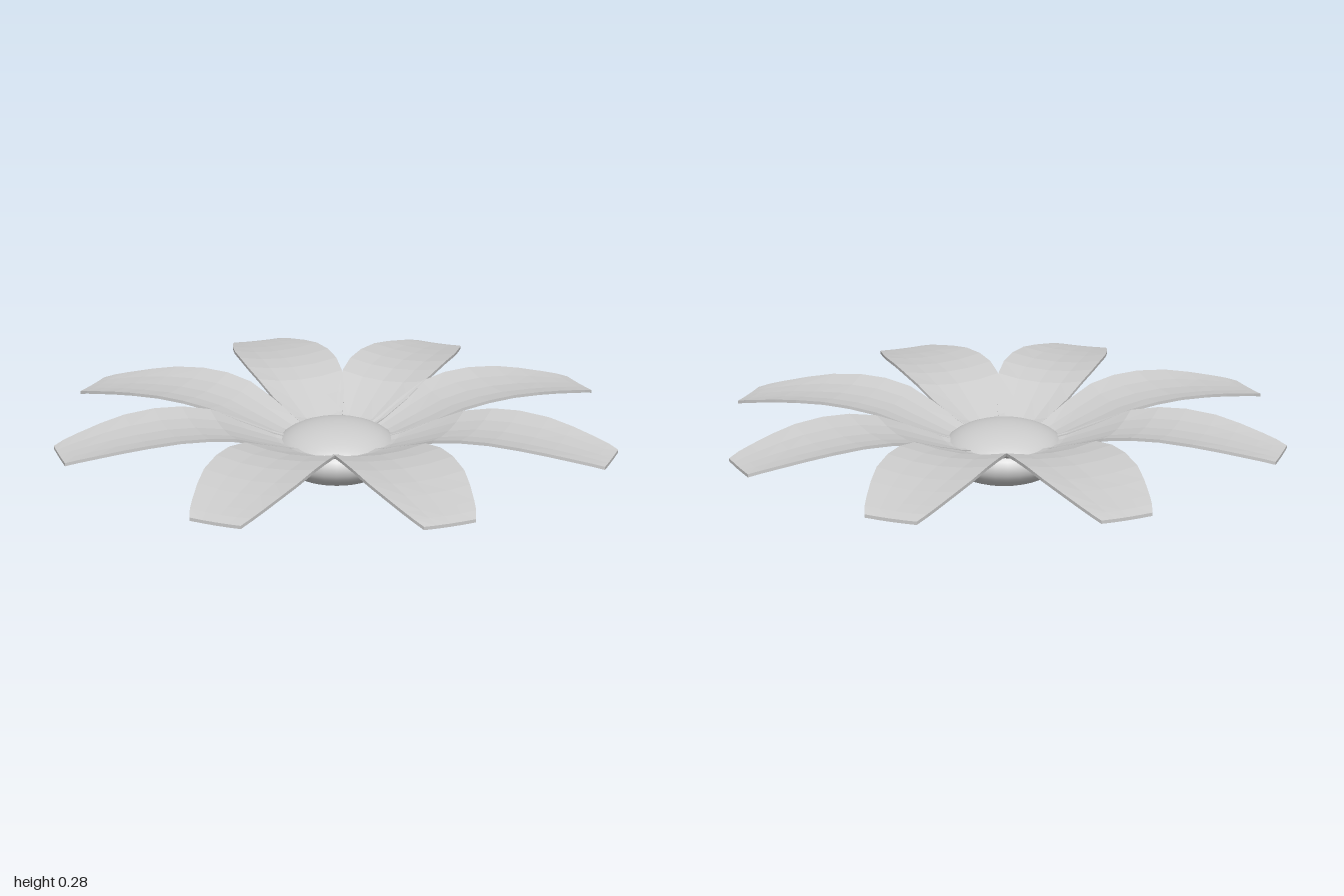
import * as THREE from 'three';

const material = new THREE.MeshStandardMaterial({ color: 0xcccccc });
const petalMaterial = new THREE.MeshStandardMaterial({ color: 0xcccccc, flatShading: true });

// Petal stations along its length: [radius, underside height, half width, edge lift]
const STATIONS = [
  [0.12, 0.125, 0.055, 0.010],
  [0.21, 0.147, 0.095, 0.015],
  [0.32, 0.188, 0.138, 0.018],
  [0.42, 0.226, 0.164, 0.020],
  [0.52, 0.244, 0.176, 0.020],
  [0.62, 0.249, 0.176, 0.020],
  [0.73, 0.244, 0.167, 0.018],
  [0.82, 0.235, 0.147, 0.013],
  [0.91, 0.222, 0.122, 0.008],
  [0.96, 0.214, 0.106, 0.005],
  [1.00, 0.205, 0.088, 0.002],
];
const ACROSS = [-1, -0.5, 0, 0.5, 1];
const THICKNESS = 0.011;

// Thin, slightly cupped solid petal pointing along +x
function petalGeometry() {
  const n = ACROSS.length, ring = 2 * n;
  const positions = [], index = [];
  for (const [r, y, w, lift] of STATIONS) {
    const height = (t) => y + lift * t * t;
    for (const t of ACROSS) positions.push(r, height(t) + THICKNESS, t * w);
    for (const t of [...ACROSS].reverse()) positions.push(r, height(t), t * w);
  }
  const last = STATIONS.length - 1;
  for (let i = 0; i < last; i++) {
    for (let j = 0; j < ring; j++) {
      const a = i * ring + j, b = i * ring + ((j + 1) % ring);
      index.push(a, b, a + ring, b, b + ring, a + ring);
    }
  }
  // Close the base and the tip
  for (let j = 0; j < n - 1; j++) {
    const k = ring - 1 - j, o = last * ring;
    index.push(j, k, j + 1, j + 1, k, k - 1);
    index.push(o + j, o + j + 1, o + k, o + j + 1, o + k - 1, o + k);
  }
  const geometry = new THREE.BufferGeometry();
  geometry.setAttribute('position', new THREE.Float32BufferAttribute(positions, 3));
  geometry.setIndex(index);
  geometry.computeVertexNormals();
  return geometry;
}

export function createModel() {
  const flower = new THREE.Group();
  flower.name = 'flower';

  // Flattened round centre
  const centre = new THREE.Mesh(new THREE.SphereGeometry(0.225, 32, 20), material);
  centre.name = 'flowerCentre';
  centre.scale.y = 0.47;
  centre.position.y = 0.106;
  flower.add(centre);

  // Eight petals, with slightly uneven spacing
  const geometry = petalGeometry();
  [0.6, 47, 88.5, 131.5, 179, 222.5, 270.4, 313.2].forEach((degrees, i) => {
    const petal = new THREE.Mesh(geometry, petalMaterial);
    petal.name = `petal${i + 1}`;
    petal.rotation.y = THREE.MathUtils.degToRad(degrees);
    flower.add(petal);
  });

  return flower;
}
